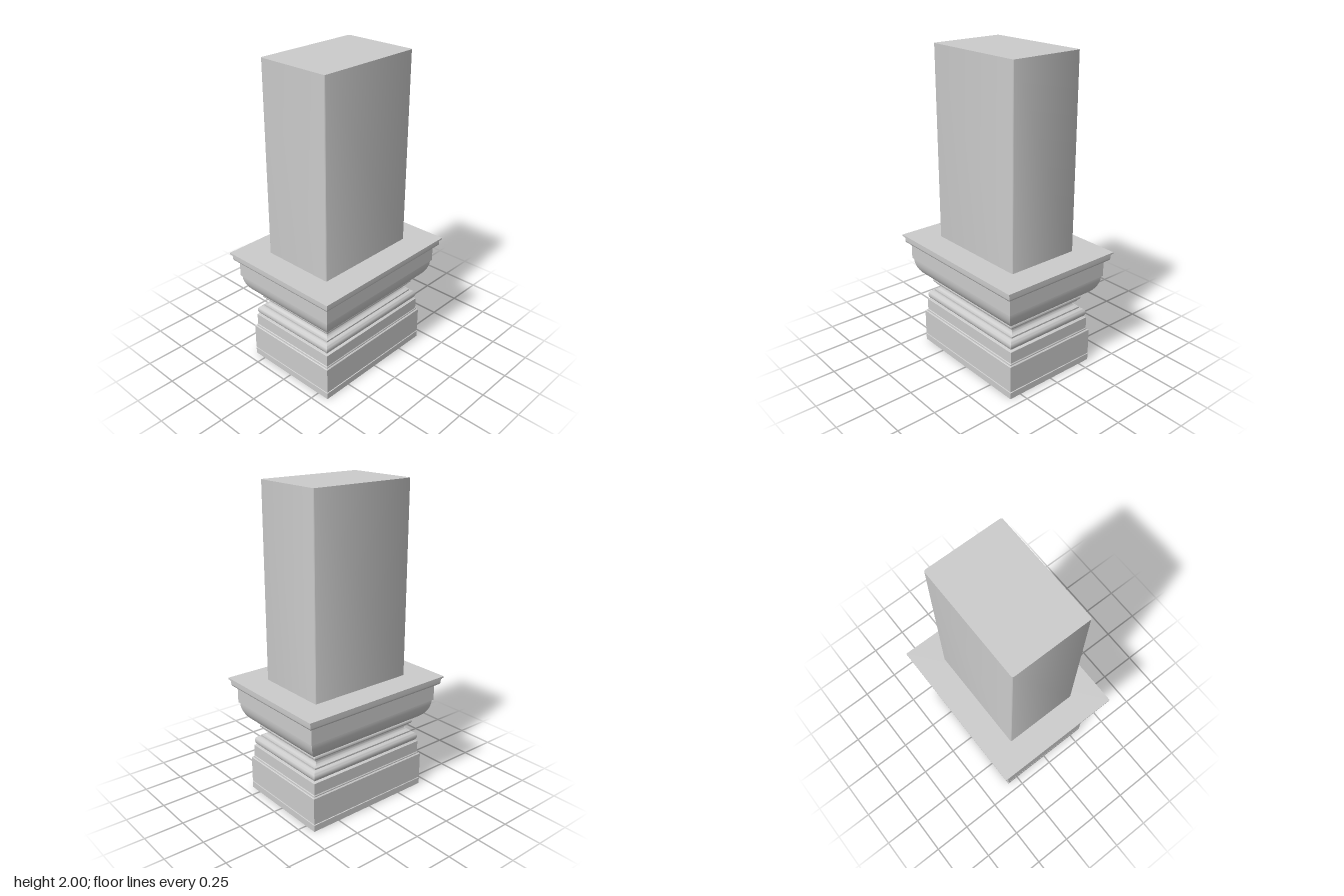
import * as THREE from 'three';
import { toCreasedNormals } from 'three/addons/utils/BufferGeometryUtils.js';

const DEPTH_EXTRA = 0.11; // every section is this much deeper (z) than wide (x), per side

// Sweep a moulding profile of [halfWidth, y] points (bottom to top) round a rectangle, mitred and capped
function moulding(profile) {
  const positions = [];
  const ring = ([h, y]) => {
    const k = h + DEPTH_EXTRA;
    return [[h, y, k], [h, y, -k], [-h, y, -k], [-h, y, k]];
  };
  const quad = (a, b, c, d) => positions.push(...a, ...b, ...c, ...a, ...c, ...d);
  const rings = profile.map(ring);
  for (let j = 0; j < rings.length - 1; j++) {
    for (let i = 0; i < 4; i++) {
      const n = (i + 1) % 4;
      quad(rings[j][i], rings[j][n], rings[j + 1][n], rings[j + 1][i]);
    }
  }
  quad(...rings[rings.length - 1]);
  quad(...[...rings[0]].reverse());
  const geometry = new THREE.BufferGeometry();
  geometry.setAttribute('position', new THREE.Float32BufferAttribute(positions, 3));
  return toCreasedNormals(geometry, 0.6);
}

// Points along an elliptical arc, angles in degrees
function arc(cx, cy, rx, ry, from, to, steps = 12) {
  return Array.from({ length: steps + 1 }, (_, i) => {
    const t = THREE.MathUtils.degToRad(from + (to - from) * i / steps);
    return [cx + rx * Math.cos(t), cy + ry * Math.sin(t)];
  });
}

// Plain shaft with slightly rounded vertical edges
function shaftGeometry(h, k, r, bottom, top) {
  const s = new THREE.Shape();
  s.moveTo(-h + r, -k);
  s.lineTo(h - r, -k);
  s.absarc(h - r, -k + r, r, -Math.PI / 2, 0);
  s.absarc(h - r, k - r, r, 0, Math.PI / 2);
  s.absarc(-h + r, k - r, r, Math.PI / 2, Math.PI);
  s.absarc(-h + r, -k + r, r, Math.PI, Math.PI * 1.5);
  const g = new THREE.ExtrudeGeometry(s, { depth: top - bottom, bevelEnabled: false, curveSegments: 5 });
  g.rotateX(-Math.PI / 2).translate(0, bottom, 0);
  return toCreasedNormals(g, 0.6);
}

export function createModel() {
  const group = new THREE.Group();
  const material = new THREE.MeshStandardMaterial({ color: 0xcccccc });
  const add = (name, geometry) => {
    const mesh = new THREE.Mesh(geometry, material);
    mesh.name = name;
    group.add(mesh);
  };

  // Plinth with a fine groove near the floor
  add('plinth', moulding([
    [0.33, 0], [0.33, 0.042], [0.325, 0.044], [0.325, 0.048], [0.33, 0.05],
    [0.33, 0.221], [0.326, 0.225],
  ]));
  add('upperPlinth', moulding([[0.32, 0.225], [0.32, 0.232], [0.316, 0.237], [0.316, 0.312], [0.312, 0.314]]));

  // Rounded roll above the plinth
  add('lowerTorus', moulding(arc(0.285, 0.346, 0.028, 0.032, -90, 90)));

  // Hollow neck and its small upper roll
  add('neck', moulding([
    [0.282, 0.378], [0.282, 0.386], ...arc(0.282, 0.412, 0.03, 0.024, 270, 180, 6),
    [0.252, 0.42], [0.262, 0.428],
  ]));
  add('upperTorus', moulding([
    [0.272, 0.428], [0.272, 0.435], ...arc(0.27, 0.454, 0.017, 0.017, -90, 90, 10), [0.264, 0.477],
  ]));

  // Swelling bowl under the square slab
  add('echinus', moulding(arc(0.265, 0.61, 0.107, 0.135, -90, 0, 16)));
  add('abacus', moulding([[0.38, 0.61], [0.38, 0.715]]));

  // Stepped cornice
  add('cornice', moulding([
    [0.39, 0.715], ...arc(0.392, 0.733, 0.016, 0.016, -80, 0, 6),
    [0.408, 0.754], [0.412, 0.756], [0.412, 0.762], [0.42, 0.765], [0.42, 0.775],
  ]));

  add('shaft', shaftGeometry(0.245, 0.355, 0.012, 0.77, 2));
  return group;
}
